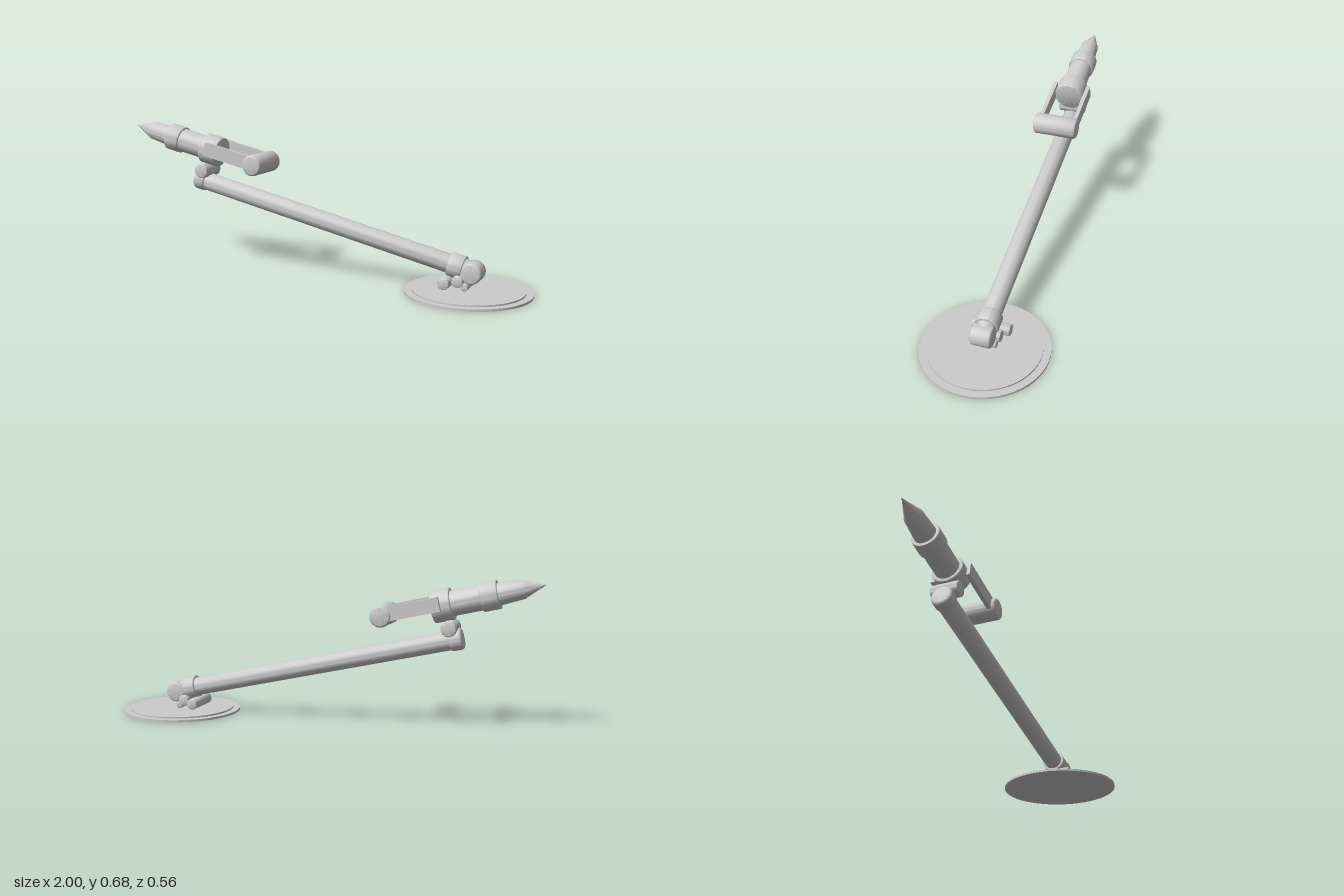
import * as THREE from 'three';
import { toCreasedNormals } from 'three/addons/utils/BufferGeometryUtils.js';

const material = new THREE.MeshStandardMaterial({ color: 0xcccccc });
const UP = new THREE.Vector3(0, 1, 0);

// Turned part: profile of [radius, distance] along a direction from an origin
function turned(name, profile, origin, direction) {
  const points = profile.map(([r, t]) => new THREE.Vector2(r, t));
  const geometry = toCreasedNormals(new THREE.LatheGeometry(points, 48), 0.6);
  const mesh = new THREE.Mesh(geometry, material);
  mesh.name = name;
  mesh.position.set(...origin);
  mesh.quaternion.setFromUnitVectors(UP, new THREE.Vector3(...direction).normalize());
  return mesh;
}

// Closed cylinder profile with rounded rims
function rounded(r, from, to, bevel) {
  const profile = [[0, from]];
  for (let i = 0; i <= 4; i++) {
    const a = (i / 4) * Math.PI / 2;
    profile.push([r - bevel + bevel * Math.sin(a), from + bevel - bevel * Math.cos(a)]);
  }
  for (let i = 0; i <= 4; i++) {
    const a = (i / 4) * Math.PI / 2;
    profile.push([r - bevel + bevel * Math.cos(a), to - bevel + bevel * Math.sin(a)]);
  }
  profile.push([0, to]);
  return profile;
}

// Pin lying across the model, along z
function crossPin(name, x, y, r, half, bevel) {
  return turned(name, rounded(r, -half, half, bevel), [x, y, 0], [0, 0, 1]);
}

export function createModel() {
  const model = new THREE.Group();

  // Stepped round base
  model.add(turned('base',
    [[0, 0], [0.28, 0], [0.28, 0.01], [0.247, 0.01], [0.247, 0.017], [0, 0.017]],
    [0.72, 0, 0], [0, 1, 0]));

  // Hinge pins above the base
  model.add(crossPin('outerHingePin', 0.63, 0.048, 0.026, 0.086, 0.005));
  model.add(crossPin('innerHingePin', 0.685, 0.058, 0.026, 0.063, 0.005));
  model.add(crossPin('smallHingePin', 0.714, 0.034, 0.017, 0.051, 0.004));
  model.add(crossPin('armPivot', 0.737, 0.094, 0.048, 0.046, 0.011));

  // Long tilted arm with a collar at each end
  const foot = [0.737, 0.098, 0];
  const armDirection = [-0.975, 0.222, 0];
  model.add(turned('arm', rounded(0.043, 0, 1.39, 0.005), foot, armDirection));
  model.add(turned('lowerCollar', rounded(0.054, 0.04, 0.105, 0.004), foot, armDirection));
  model.add(turned('upperCollar', rounded(0.049, 1.365, 1.425, 0.012), foot, armDirection));
  model.add(crossPin('headPivot', -0.597, 0.459, 0.035, 0.064, 0.006));

  // Pointed head: rear collar, body, front collar, neck and tip
  const rear = [-0.56, 0.556, 0];
  const headDirection = [-0.974, 0.226, 0];
  model.add(turned('rearCollar', rounded(0.072, -0.044, 0.044, 0.004), rear, headDirection));
  model.add(turned('headBody', [[0, 0], [0.056, 0], [0.056, 0.2], [0, 0.2]], rear, headDirection));
  model.add(turned('frontCollar', rounded(0.064, 0.174, 0.25, 0.004), rear, headDirection));
  model.add(turned('headTip',
    [[0, 0.22], [0.05, 0.22], [0.048, 0.27], [0.042, 0.355], [0.035, 0.37], [0.016, 0.415], [0, 0.455]],
    rear, headDirection));

  // Fork bars joining the head to the rear handle
  const start = new THREE.Vector2(-0.56, 0.57);
  const end = new THREE.Vector2(-0.3, 0.511);
  const span = end.clone().sub(start);
  for (const [name, z] of [['frontForkBar', 0.077], ['backForkBar', -0.087]]) {
    const bar = new THREE.Mesh(new THREE.BoxGeometry(span.length(), 0.064, 0.019), material);
    bar.name = name;
    bar.position.set((start.x + end.x) / 2, (start.y + end.y) / 2, z);
    bar.rotation.z = span.angle();
    model.add(bar);
  }
  model.add(crossPin('rearHandle', -0.3, 0.507, 0.049, 0.103, 0.012));

  return model;
}
